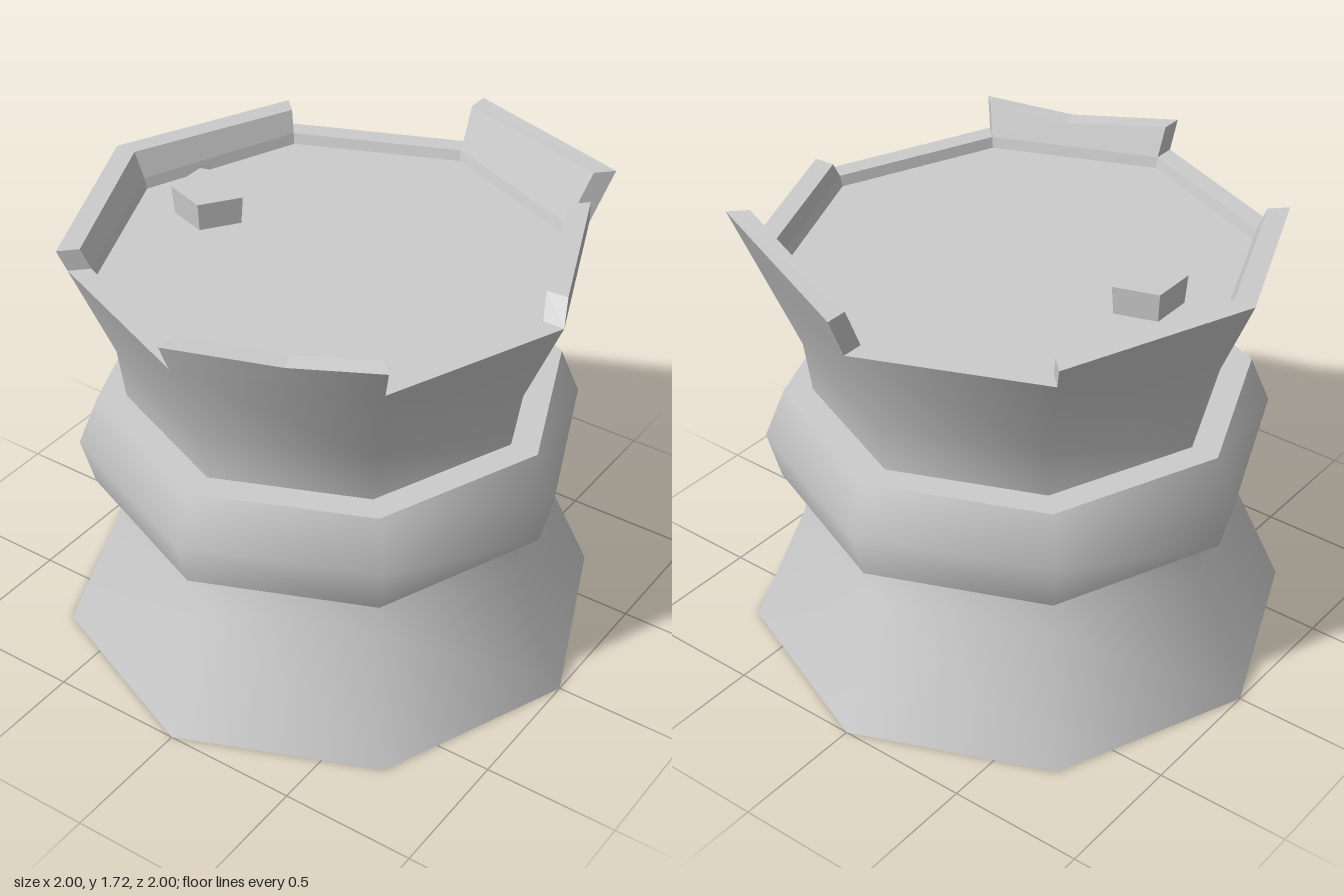
import * as THREE from 'three';

const SIDES = 8;
const LEDGE = 1.525; // height where the battlements start
const R_OUT = 0.91, R_IN = 0.83;

const smooth = new THREE.MeshStandardMaterial({ color: 0xcccccc });
const faceted = new THREE.MeshStandardMaterial({ color: 0xcccccc, flatShading: true });

// Eight-sided turned part; corners lie on the x and z axes
function turned(name, profile, material) {
  const points = profile.map(([r, y]) => new THREE.Vector2(r, y));
  const mesh = new THREE.Mesh(new THREE.LatheGeometry(points, SIDES), material);
  mesh.name = name;
  return mesh;
}

// Battlement along one side, from corner k to k + 1.
// stations: [fraction along the side, top height]; lean: outward slope of the wall
function battlement(name, k, stations, lean = 0.42) {
  const cornerDir = (i) => {
    const a = (i * Math.PI * 2) / SIDES;
    return new THREE.Vector3(Math.sin(a), 0, Math.cos(a));
  };
  const a = cornerDir(k), b = cornerDir(k + 1);
  const place = (t, r, y) => a.clone().lerp(b, t).multiplyScalar(r).setY(y);
  const rings = stations.map(([t, y]) => {
    const shift = (y - LEDGE) * lean;
    return [
      place(t, R_OUT, LEDGE),
      place(t, R_OUT + shift, y),
      place(t, R_IN + shift, y),
      place(t, R_IN, LEDGE),
    ];
  });

  const corners = [];
  const quad = (p, q, r, s) => corners.push(p, q, r, p, r, s);
  // outer faces come first so they can be given rounded normals
  for (let j = 0; j < 3; j++) {
    for (let i = 0; i < rings.length - 1; i++) {
      quad(rings[i][j], rings[i + 1][j], rings[i + 1][j + 1], rings[i][j + 1]);
    }
  }
  const first = rings[0], last = rings[rings.length - 1];
  quad(first[3], first[0], first[1], first[2]);
  quad(last[0], last[3], last[2], last[1]);

  const geometry = new THREE.BufferGeometry().setFromPoints(corners);
  geometry.computeVertexNormals();
  const normals = geometry.attributes.normal;
  for (let i = 0; i < (rings.length - 1) * 6; i++) {
    const n = corners[i].clone().setY(0).normalize().setY(-0.42).normalize();
    normals.setXYZ(i, n.x, n.y, n.z);
  }
  const mesh = new THREE.Mesh(geometry, smooth);
  mesh.name = name;
  return mesh;
}

export function createModel() {
  const tower = new THREE.Group();
  tower.name = 'tower';

  // Flared foot with a recessed underside
  tower.add(turned('foot', [[1, 0], [0.8, 0.46], [0.76, 0.64]], smooth));
  tower.add(turned('underside', [[0, 0.09], [0.87, 0.09], [0.89, 0], [1, 0]], faceted));

  // Bulging collar with flat top and bottom
  tower.add(turned('collar', [[0.87, 0.63], [0.918, 0.81], [0.845, 0.99]], smooth));
  tower.add(turned('collarBottom', [[0.72, 0.63], [0.87, 0.63]], faceted));
  tower.add(turned('collarTop', [[0.845, 0.99], [0.7, 0.99]], faceted));

  // Flared crown, its ledge and the sunken floor
  tower.add(turned('crown', [[0.74, 0.99], [0.765, 1.18], [R_OUT, LEDGE]], smooth));
  tower.add(turned('crownFloor', [[R_OUT, LEDGE], [R_IN, LEDGE], [0.82, 1.485], [0, 1.485]], faceted));

  // Uneven, broken battlements
  const walls = new THREE.Group();
  walls.name = 'battlements';
  walls.add(
    battlement('frontBattlement', 0, [[0, 1.63], [0.55, 1.605], [1, 1.635]]),
    battlement('leftBattlement', 2, [[0, LEDGE], [0.1, 1.603], [1, 1.605]], 0),
    battlement('backBattlement', 3, [[0, 1.72], [1, 1.68]]),
    battlement('rightBackBattlement', 5, [[0, 1.605], [1, 1.62]]),
    battlement('rightFrontBattlement', 6, [[0, 1.62], [1, 1.605]]),
  );
  tower.add(walls);

  // Five-sided stub on the floor
  const stub = new THREE.Mesh(new THREE.CylinderGeometry(0.14, 0.13, 0.115, 5), faceted);
  stub.name = 'floorStub';
  stub.rotation.y = Math.PI / 2;
  stub.position.set(-0.525, 1.5325, 0);
  tower.add(stub);

  return tower;
}
